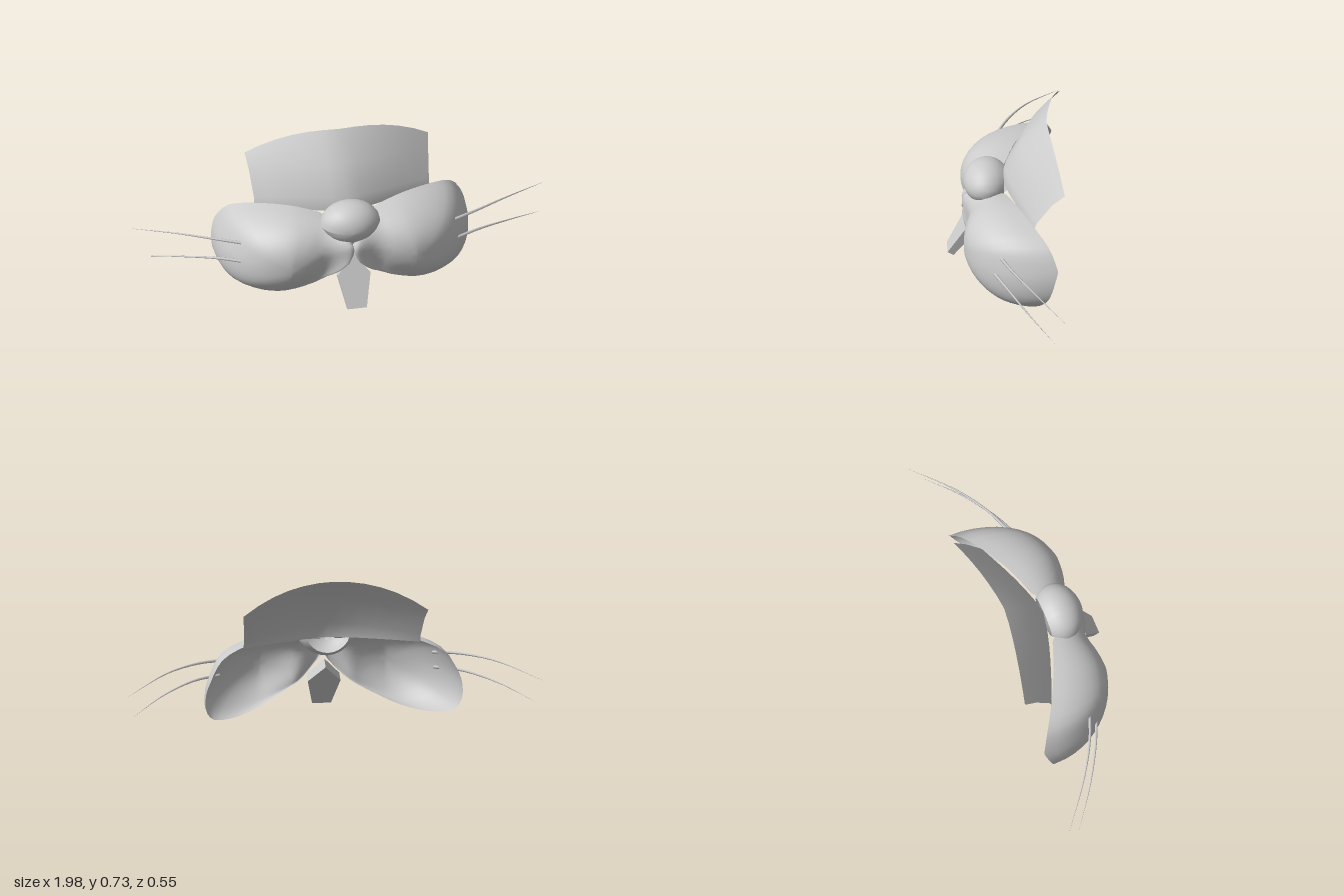
import * as THREE from 'three';
import { mergeVertices } from 'three/addons/utils/BufferGeometryUtils.js';

const material = new THREE.MeshStandardMaterial({ color: 0xcccccc, side: THREE.DoubleSide });
const { lerp, clamp } = THREE.MathUtils;

function part(name, geometry, parent) {
  const mesh = new THREE.Mesh(geometry, material);
  mesh.name = name;
  parent.add(mesh);
  return mesh;
}

// Smooth open sheet from a rule point(u, v) -> [x, y, z]
function sheet(nu, nv, point) {
  const g = new THREE.PlaneGeometry(1, 1, nu, nv);
  const pos = g.attributes.position;
  for (let i = 0; i < pos.count; i++) {
    const u = (i % (nu + 1)) / nu, v = Math.floor(i / (nu + 1)) / nv;
    pos.setXYZ(i, ...point(u, v));
  }
  g.deleteAttribute('uv');
  g.deleteAttribute('normal');
  const merged = mergeVertices(g, 1e-5);
  merged.computeVertexNormals();
  return merged;
}

// Cheek: outline filled by rings, bulging forward from a rim that sweeps back
// toward the side and comes forward along the bottom
function cheekGeometry() {
  const outline = new THREE.CatmullRomCurve3([
    [0, 0.27], [0.01, 0.34], [0.1, 0.39], [0.18, 0.41], [0.28, 0.42], [0.42, 0.402], [0.53, 0.36],
    [0.585, 0.28], [0.61, 0.2], [0.605, 0.11], [0.56, 0.05], [0.45, 0.024], [0.35, 0.034],
    [0.25, 0.07], [0.15, 0.12], [0.08, 0.17],
  ].map(([x, y]) => new THREE.Vector3(x, y, 0)), true);
  const rim = x => 0.035 - 0.2 * x - 0.42 * x * x + 0.14 * Math.pow(Math.max(0, 1 - x / 0.14), 1.5);
  const depth = x => 0.27 + (x - 0.3) * (x < 0.3 ? 0.45 : 0.25);
  const lift = (x, y) => Math.pow(clamp((0.25 - y) / 0.225, 0, 1), 0.6) * (0.26 - 0.3 * x);
  return sheet(40, 12, (u, v) => {
    const p = outline.getPoint(u % 1);
    const r = Math.sin(v * Math.PI / 2);
    const x = Math.max(0, lerp(0.3, p.x, r)), y = lerp(0.22, p.y, r);
    const raise = lift(p.x, p.y) * r * r;
    const bulge = Math.pow(Math.max(0, 1 - Math.pow(r, 2.5)), 0.45);
    return [x, y, rim(x) + raise + Math.max(0, depth(x) - raise) * bulge];
  });
}

// Whisker: thin round hair tapering to a point along a curve
function whiskerGeometry(points) {
  const curve = new THREE.CatmullRomCurve3(points.map(p => new THREE.Vector3(...p)));
  const rings = 14, sides = 6;
  const g = new THREE.TubeGeometry(curve, rings, 0.008, sides);
  const pos = g.attributes.position, v = new THREE.Vector3();
  for (let i = 0; i < pos.count; i++) {
    const t = Math.floor(i / (sides + 1)) / rings;
    const c = curve.getPointAt(t);
    v.fromBufferAttribute(pos, i).sub(c).multiplyScalar(1 - 0.95 * t).add(c);
    pos.setXYZ(i, v.x, v.y, v.z);
  }
  return g;
}

export function createModel() {
  const model = new THREE.Group();
  model.name = 'animalMask';

  // Cheeks with whiskers, mirrored
  const cheek = cheekGeometry();
  const upper = whiskerGeometry([[0.5, 0.293, 0.04], [0.62, 0.297, -0.01], [0.78, 0.283, -0.105], [0.99, 0.224, -0.27]]);
  const lower = whiskerGeometry([[0.51, 0.21, 0.07], [0.63, 0.207, 0.015], [0.79, 0.17, -0.08], [0.955, 0.105, -0.205]]);
  for (const [side, s] of [['left', 1], ['right', -1]]) {
    const half = new THREE.Group();
    half.name = side + 'Side';
    half.scale.x = s;
    part(side + 'Cheek', cheek, half);
    part(side + 'UpperWhisker', upper, half);
    part(side + 'LowerWhisker', lower, half);
    model.add(half);
  }

  // Nose: ellipsoid open at the back, narrowing toward the bottom
  const nose = new THREE.SphereGeometry(1, 20, 12, 0, Math.PI * 2, 0, Math.PI * 0.75);
  nose.rotateX(Math.PI / 2);
  const np = nose.attributes.position;
  for (let i = 0; i < np.count; i++) {
    const y = np.getY(i);
    np.setX(i, np.getX(i) * (y < 0 ? 1 + 0.2 * y : 1));
  }
  nose.scale(0.142, 0.104, 0.11);
  nose.translate(0, 0.39, 0.09);
  nose.computeVertexNormals();
  part('nose', nose, model);

  // Forehead: sheet leaning back, its sides swept behind the middle; rows of [y, z]
  const middle = [[0.395, 0.015], [0.465, 0.01], [0.61, -0.07], [0.728, -0.19]];
  const edge = [[0.395, -0.122], [0.43, -0.135], [0.535, -0.205], [0.595, -0.266]];
  const halfWidth = [0.42, 0.42, 0.43, 0.44];
  part('forehead', sheet(12, 3, (u, v) => {
    const row = Math.round(v * 3), s = u * 2 - 1, a = Math.abs(s);
    return [
      s * halfWidth[row],
      lerp(middle[row][0], edge[row][0], Math.pow(a, 2.3)),
      lerp(middle[row][1], edge[row][1], Math.pow(a, 1.3)),
    ];
  }), model);

  // Tooth: slanted tapered slab tucked between the cheeks, thicker toward the root
  const shape = new THREE.Shape([[-0.045, 0], [0.045, 0], [0.078, 0.165], [0, 0.265], [-0.078, 0.165]]
    .map(p => new THREE.Vector2(...p)));
  const slab = new THREE.ExtrudeGeometry(shape, { depth: 0.033, bevelEnabled: false });
  const sp = slab.attributes.position;
  for (let i = 0; i < sp.count; i++) {
    if (sp.getZ(i) < 0.01) sp.setZ(i, -0.1 * sp.getY(i));
  }
  slab.computeVertexNormals();
  const tooth = part('tooth', slab, model);
  tooth.rotation.x = -0.5;
  tooth.position.set(0, 0, 0.248);

  return model;
}
